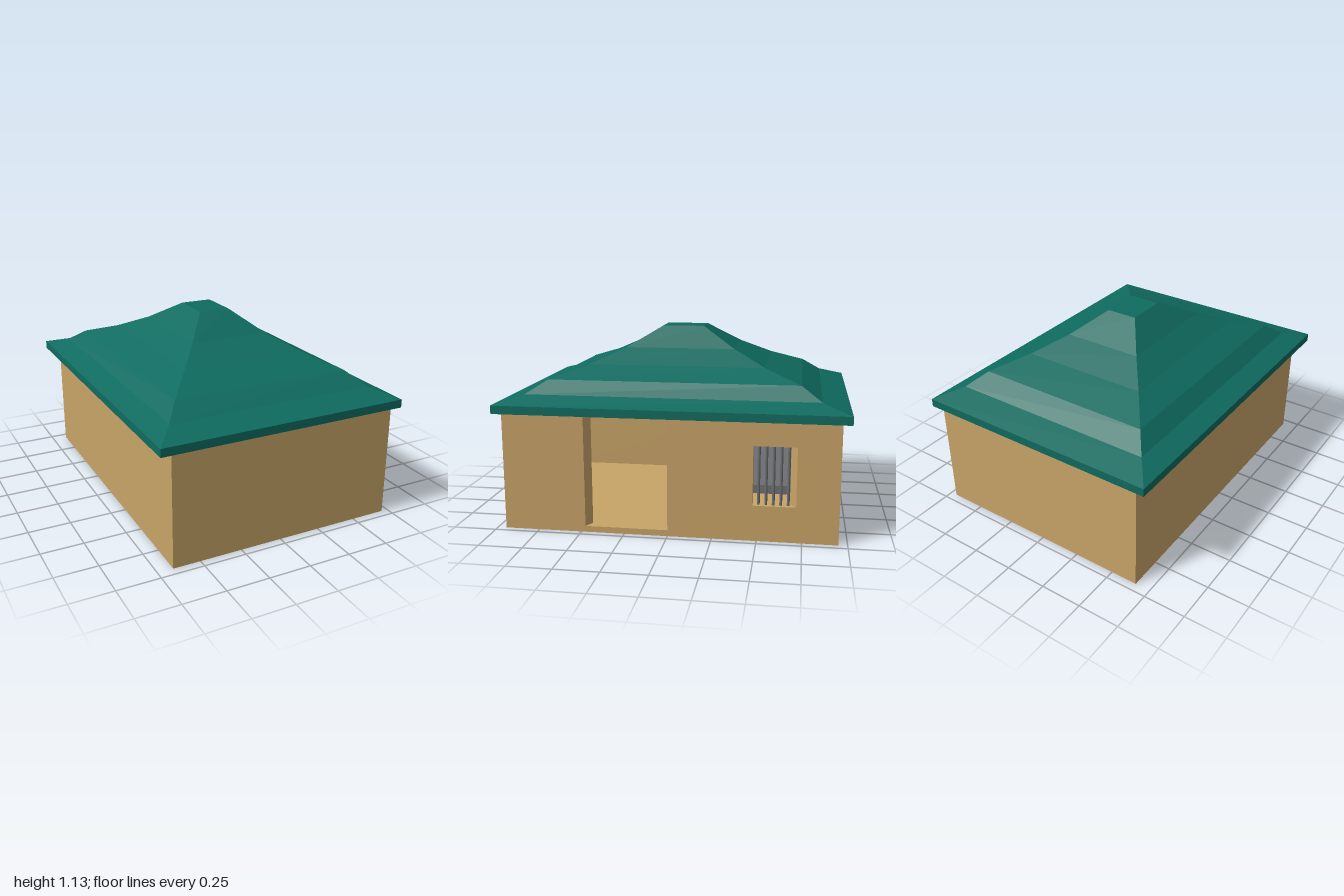
import * as THREE from 'three';

export function createModel() {
  const model = new THREE.Group();
  const wallMat = new THREE.MeshStandardMaterial({ color: 0xc8a468 });
  wallMat.name = 'sand plaster';
  const roofMat = new THREE.MeshStandardMaterial({ color: 0x0f6b60 });
  roofMat.name = 'green roofing';
  const metalMat = new THREE.MeshStandardMaterial({ color: 0x6c6e72 });
  metalMat.name = 'grey metal';

  const add = (name, geometry, material, parent = model) => {
    const mesh = new THREE.Mesh(geometry, material);
    mesh.name = name;
    parent.add(mesh);
    return mesh;
  };
  // Box given by its lower and upper corners
  const box = (name, lo, hi, material, parent) => {
    const size = hi.map((v, i) => v - lo[i]);
    const mesh = add(name, new THREE.BoxGeometry(...size), material, parent);
    mesh.position.set(...hi.map((v, i) => (v + lo[i]) / 2));
    return mesh;
  };

  const L = -0.66, R = 0.71, Z = 0.95, T = 0.055, FLOOR = 0.035, TOP = 0.68;

  // Floor and the three plain walls
  box('floor', [L, 0, -Z], [R - T, FLOOR, Z], wallMat);
  box('frontWall', [L, FLOOR, Z - T], [R - T, TOP, Z], wallMat);
  box('backWall', [L, FLOOR, -Z], [R - T, TOP, -Z + T], wallMat);
  box('rightWall', [L, FLOOR, -Z + T], [L + T, TOP, Z - T], wallMat);

  // Wall with full-height doorway and window; shape x runs toward the back
  const outline = new THREE.Shape([
    [-Z, 0], [Z, 0], [Z, TOP], [0, TOP], [0, FLOOR], [-0.475, FLOOR], [-0.475, TOP], [-Z, TOP],
  ].map(p => new THREE.Vector2(...p)));
  outline.holes.push(new THREE.Path([
    [0.476, 0.205], [0.476, 0.543], [0.715, 0.543], [0.715, 0.205],
  ].map(p => new THREE.Vector2(...p))));
  const doorWall = new THREE.ExtrudeGeometry(outline, { depth: T, bevelEnabled: false });
  // Splay one jamb of each opening on the inner face
  const pos = doorWall.attributes.position;
  for (let i = 0; i < pos.count; i++) {
    if (pos.getZ(i) > T / 2) continue;
    if (Math.abs(pos.getX(i) + 0.475) < 1e-4) pos.setX(i, -0.445);
    if (Math.abs(pos.getX(i) - 0.715) < 1e-4) pos.setX(i, 0.68);
  }
  doorWall.computeVertexNormals();
  doorWall.rotateY(Math.PI / 2);
  add('doorWall', doorWall, wallMat).position.x = R - T;

  // Window bars
  const bars = new THREE.Group();
  bars.name = 'windowBars';
  model.add(bars);
  for (let i = 0; i < 5; i++) {
    const bar = add('windowBar', new THREE.CylinderGeometry(0.008, 0.008, 0.338, 8), metalMat, bars);
    bar.position.set(R - T / 2, 0.374, -0.507 - i * 0.041);
  }

  // Bench along the back wall
  const bench = new THREE.Group();
  bench.name = 'bench';
  model.add(bench);
  box('benchTop', [-0.55, 0.21, -0.85], [0.5, 0.26, -0.4], metalMat, bench);
  for (const z of [-0.85, -0.43]) {
    box('benchRail', [-0.55, 0.12, z], [0.5, 0.15, z + 0.03], metalMat, bench);
    for (const x of [-0.55, 0.47])
      box('benchLeg', [x, FLOOR, z], [x + 0.03, 0.21, z + 0.03], metalMat, bench);
  }

  // Flared hip roof: stacked rectangles [half width, height, half depth]
  const tiers = [
    [0.74, 0.68, 1], [0.74, 0.728, 1], [0.62, 0.775, 0.84], [0.535, 0.85, 0.725],
    [0.383, 0.921, 0.515], [0.24, 1.008, 0.325], [0.094, 1.128, 0.125],
  ];
  const rings = tiers.map(([x, y, z]) => [[-x, y, z], [x, y, z], [x, y, -z], [-x, y, -z]]);
  const verts = [];
  const quad = (a, b, c, d) => verts.push(...a, ...b, ...c, ...a, ...c, ...d);
  for (let t = 0; t < rings.length - 1; t++)
    for (let i = 0; i < 4; i++) {
      const j = (i + 1) % 4;
      quad(rings[t][i], rings[t][j], rings[t + 1][j], rings[t + 1][i]);
    }
  quad(...rings[rings.length - 1]);
  quad(...[...rings[0]].reverse());
  const roof = new THREE.BufferGeometry();
  roof.setAttribute('position', new THREE.Float32BufferAttribute(verts, 3));
  roof.computeVertexNormals();
  add('roof', roof, roofMat);

  return model;
}
